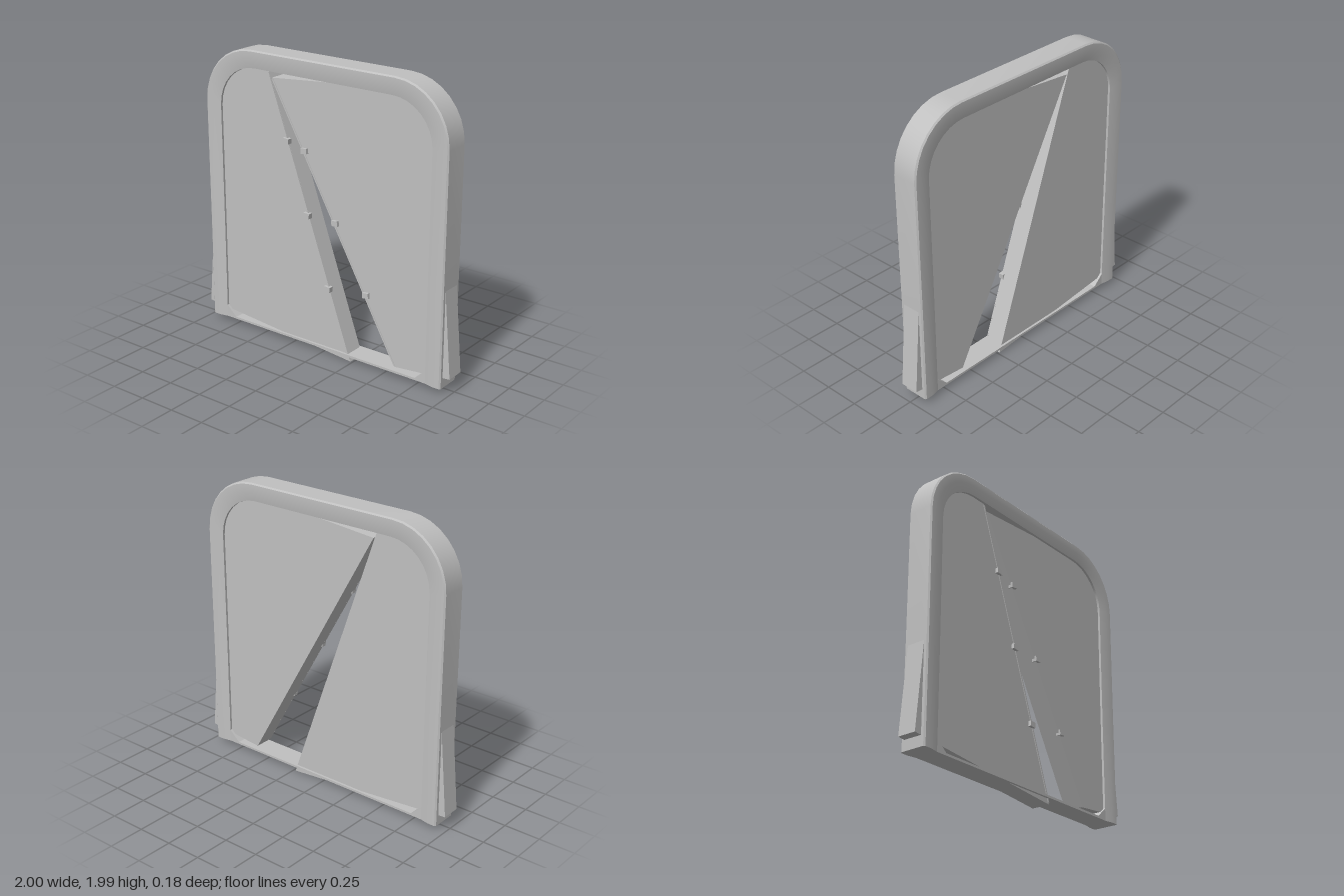
import * as THREE from 'three';
import { toCreasedNormals } from 'three/addons/utils/BufferGeometryUtils.js';

const grey = new THREE.MeshStandardMaterial({ color: 0xc0c0c0 });
grey.name = 'plain grey';

function addMesh(parent, geometry, name) {
  const mesh = new THREE.Mesh(geometry, grey);
  mesh.name = name;
  parent.add(mesh);
  return mesh;
}

// Flat plate of the given outline, spanning z0 to z1
function plate(points, z0, z1) {
  const shape = new THREE.Shape(points.map(([x, y]) => new THREE.Vector2(x, y)));
  const geo = new THREE.ExtrudeGeometry(shape, { depth: z1 - z0, bevelEnabled: false });
  return geo.translate(0, 0, z0);
}

// Half of an arch line: up the leg, round the corner, in model-left order
function archLine(legX, shoulder, topY, flatX, steps) {
  const half = [[legX - 0.006, 0.04], [legX - 0.005, 0.7]];
  for (let i = 0; i <= steps; i++) {
    const a = (i / steps) * Math.PI / 2;
    half.push([flatX + (legX - flatX) * Math.cos(a), shoulder + (topY - shoulder) * Math.sin(a)]);
  }
  return [...half, ...half.slice().reverse().map(([x, y]) => [-x, y])];
}

// Arched bar lofted between an outer and an inner line
function archFrame() {
  const outer = archLine(0.955, 1.6, 1.99, 0.565, 8);
  const inner = archLine(0.835, 1.58, 1.87, 0.54, 8);
  // section: share of the way inward, z
  const section = [[0, -0.083], [0, 0.083], [0.08, 0.092], [0.5, 0.092], [1, 0.08],
    [1, -0.08], [0.5, -0.092], [0.08, -0.092]];
  const n = section.length, pos = [], index = [];
  outer.forEach(([x, y], j) => {
    const [u, v] = inner[j];
    section.forEach(([t, z]) => pos.push(x + (u - x) * t, y + (v - y) * t, z));
  });
  for (let j = 0; j < outer.length - 1; j++) {
    for (let k = 0; k < n; k++) {
      const a = j * n + k, c = j * n + (k + 1) % n;
      index.push(a, a + n, c + n, a, c + n, c);
    }
  }
  const end = (outer.length - 1) * n;
  for (let k = 1; k < n - 1; k++) {
    index.push(0, k, k + 1, end, end + k + 1, end + k);
  }
  const geo = new THREE.BufferGeometry();
  geo.setAttribute('position', new THREE.Float32BufferAttribute(pos, 3));
  geo.setIndex(index);
  return toCreasedNormals(geo, 0.6);
}

// Door leaf with a slim seal and three catches along its slanted edge
function doorLeaf(name, outline, top, bottom, side, catches) {
  const leaf = new THREE.Group();
  leaf.name = name;
  addMesh(leaf, plate(outline, -0.064, 0.064), name + 'Panel');

  const dx = bottom[0] - top[0], dy = bottom[1] - top[1];
  const seal = addMesh(leaf, new THREE.BoxGeometry(0.009, Math.hypot(dx, dy) - 0.02, 0.008), name + 'Seal');
  seal.position.set((top[0] + bottom[0]) / 2 - side * -0.005, (top[1] + bottom[1]) / 2, 0.066);
  seal.rotation.z = Math.atan2(dx, -dy);

  catches.forEach(([x, y]) => {
    const latch = addMesh(leaf, new THREE.BoxGeometry(0.046, 0.036, 0.035), name + 'Catch');
    latch.position.set(x, y, 0.067);
    latch.rotation.z = side * 0.085;
  });
  return leaf;
}

export function createModel() {
  const model = new THREE.Group();
  model.name = 'archedDoorway';

  addMesh(model, archFrame(), 'archFrame');

  // Threshold with sloped corner fillets
  addMesh(model, plate([[-0.84, 0.04], [0.84, 0.04], [0.84, 0.135], [0.75, 0.055],
    [-0.75, 0.055], [-0.84, 0.135]], -0.08, 0.08), 'threshold');

  // Two tilted leaves, spread apart at the bottom
  model.add(doorLeaf('rightLeaf',
    [[-0.44, 1.9], [-0.6, 1.91], [-0.73, 1.87], [-0.84, 1.75], [-0.873, 1.62],
      [-0.95, 0.7], [-1, 0.115], [0.235, 0.003]],
    [-0.43, 1.87], [0.235, 0.005], -1,
    [[-0.283, 1.43], [-0.117, 0.955], [0.052, 0.48]]));
  model.add(doorLeaf('leftLeaf',
    [[-0.405, 1.827], [0.585, 0.075], [1, 0.115], [0.95, 0.7], [0.873, 1.62],
      [0.84, 1.75], [0.72, 1.88], [0.5, 1.9], [0.1, 1.87]],
    [-0.405, 1.827], [0.585, 0.075], 1,
    [[-0.135, 1.39], [0.112, 0.953], [0.36, 0.517]]));

  return model;
}
